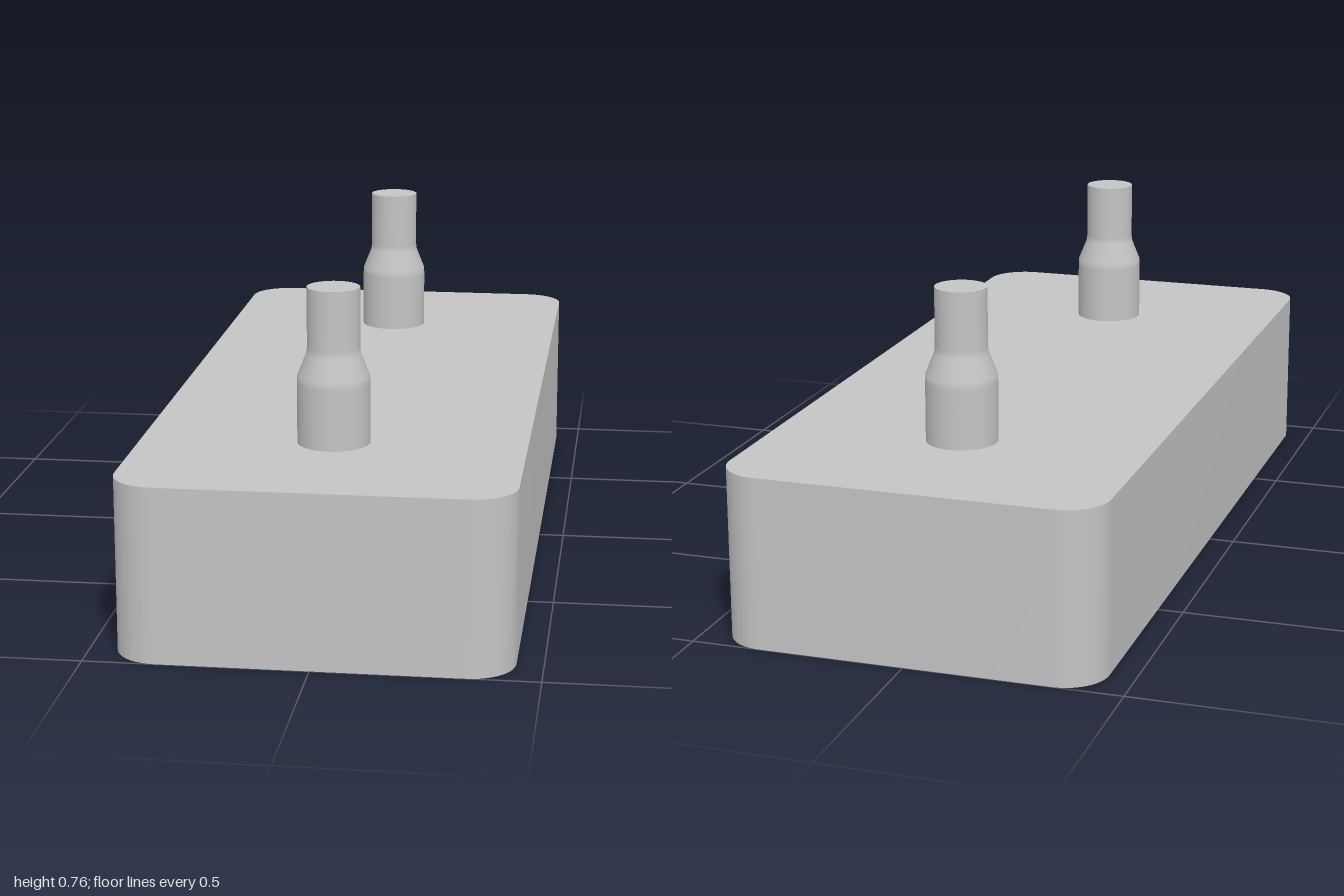
import * as THREE from 'three';
import { toCreasedNormals } from 'three/addons/utils/BufferGeometryUtils.js';

const HALF_W = 0.44, HALF_L = 1, CORNER = 0.1, HEIGHT = 0.4;
const PEG_Z = 0.6, SOCKET_R = 0.098, SOCKET_DEPTH = 0.36;

// Rounded rectangle, counter-clockwise
function outline() {
  const s = new THREE.Shape();
  const w = HALF_W - CORNER, l = HALF_L - CORNER;
  s.absarc(w, l, CORNER, 0, Math.PI / 2);
  s.absarc(-w, l, CORNER, Math.PI / 2, Math.PI);
  s.absarc(-w, -l, CORNER, Math.PI, Math.PI * 1.5);
  s.absarc(w, -l, CORNER, Math.PI * 1.5, Math.PI * 2);
  return s;
}

// Side wall swept up from the outline
function wallGeometry() {
  const pts = outline().getPoints(12), pos = [];
  pts.forEach((a, i) => {
    const b = pts[(i + 1) % pts.length];
    if (a.distanceTo(b) < 1e-5) return;
    pos.push(a.x, a.y, 0, b.x, b.y, 0, b.x, b.y, HEIGHT);
    pos.push(a.x, a.y, 0, b.x, b.y, HEIGHT, a.x, a.y, HEIGHT);
  });
  const g = new THREE.BufferGeometry();
  g.setAttribute('position', new THREE.Float32BufferAttribute(pos, 3));
  return toCreasedNormals(g.rotateX(-Math.PI / 2), 0.5);
}

export function createModel() {
  const model = new THREE.Group();
  const grey = new THREE.MeshStandardMaterial({ color: 0xc4c4c4 });
  grey.name = 'light grey';

  const add = (name, geometry, parent, y = 0, z = 0) => {
    const mesh = new THREE.Mesh(geometry, grey);
    mesh.name = name;
    mesh.position.set(0, y, z);
    parent.add(mesh);
  };

  // Block: wall, top and a bottom pierced by two sockets
  const block = new THREE.Group();
  block.name = 'block';
  model.add(block);
  add('blockWall', wallGeometry(), block);
  add('blockTop', new THREE.ShapeGeometry(outline(), 12).rotateX(-Math.PI / 2), block, HEIGHT);
  const under = outline();
  for (const z of [-PEG_Z, PEG_Z]) {
    under.holes.push(new THREE.Path().absarc(0, z, SOCKET_R, 0, Math.PI * 2, true));
  }
  add('blockBottom', new THREE.ShapeGeometry(under, 24).rotateX(Math.PI / 2), block);

  // Stepped peg profile, with extra points so the taper edges shade softly
  const pegProfile = [
    [0.083, 0.4], [0.083, 0.54], [0.082, 0.557], [0.062, 0.607], [0.06, 0.622], [0.06, 0.76],
  ].map(([r, y]) => new THREE.Vector2(r, y));

  // Socket wall runs downward so that it faces inward
  const socketProfile = [[SOCKET_R, SOCKET_DEPTH], [SOCKET_R, 0]]
    .map(([r, y]) => new THREE.Vector2(r, y));

  for (const z of [PEG_Z, -PEG_Z]) {
    const end = z > 0 ? 'front' : 'back';
    const peg = new THREE.Group();
    peg.name = end + 'Peg';
    model.add(peg);
    add(end + 'PegSide', new THREE.LatheGeometry(pegProfile, 48), peg, 0, z);
    add(end + 'PegTop', new THREE.CircleGeometry(0.06, 48).rotateX(-Math.PI / 2), peg, 0.76, z);

    const socket = new THREE.Group();
    socket.name = end + 'Socket';
    model.add(socket);
    add(end + 'SocketWall', new THREE.LatheGeometry(socketProfile, 48), socket, 0, z);
    add(end + 'SocketCeiling', new THREE.CircleGeometry(SOCKET_R, 48).rotateX(Math.PI / 2), socket, SOCKET_DEPTH, z);
  }
  return model;
}
